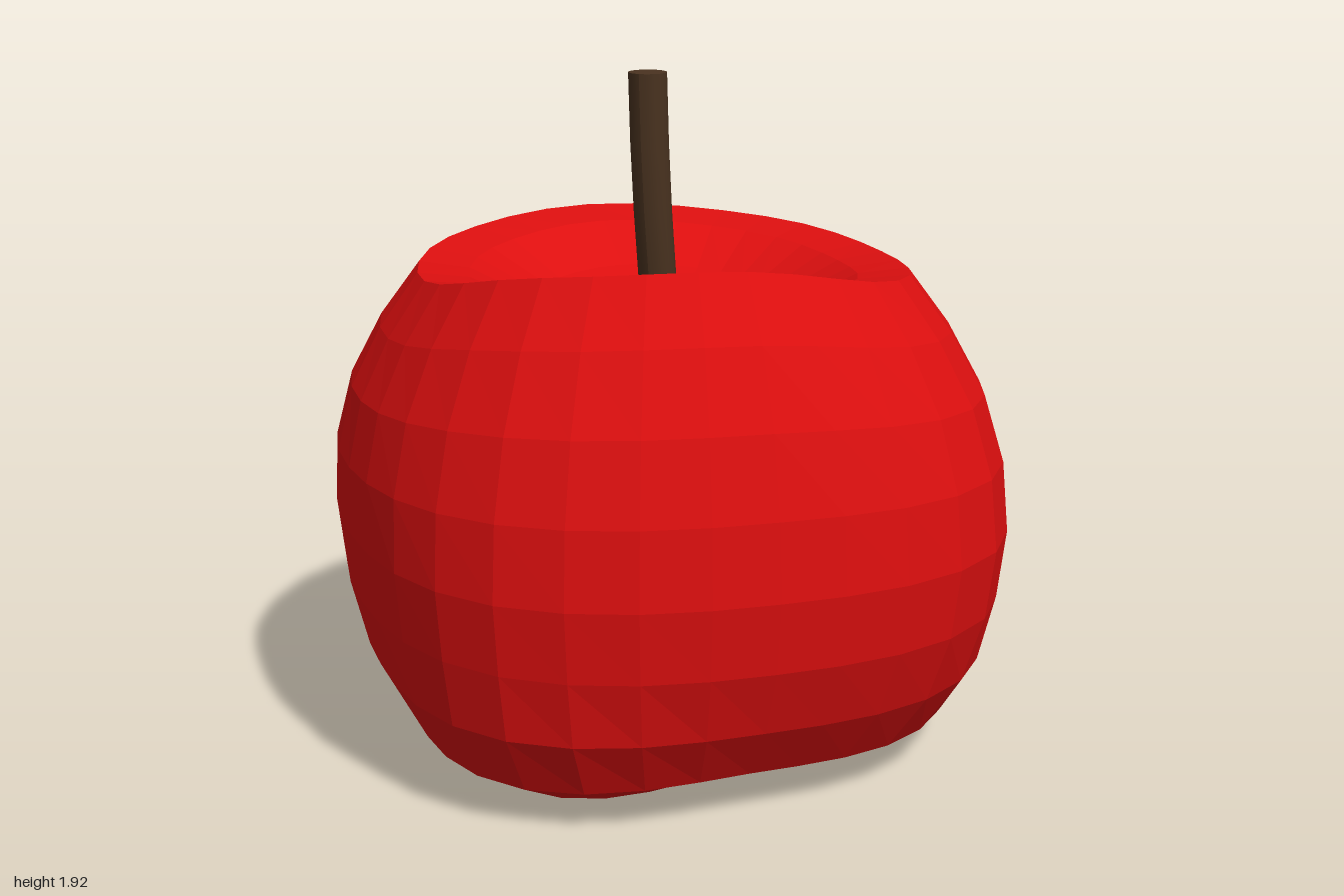
import * as THREE from 'three';

const SEGMENTS = 32;

// Eight values around the fruit, starting at +x and turning towards +z
const RADIUS_BASE = [0.98, 0.86, 1.04, 0.92, 1.0, 1.0, 0.98, 1.05];
const RADIUS_MIDDLE = [1.0, 0.92, 0.98, 0.91, 1.0, 1.0, 0.99, 0.91];
const RADIUS_RIM = [1.0, 0.94, 1.0, 0.98, 1.0, 1.02, 1.01, 0.95];
const LIFT_BASE = [0.03, 0.05, 0.01, 0, 0, 0, 0, 0.01];
const LIFT_RIM = [0, 0.09, 0.075, -0.02, 0, 0.03, 0, -0.025];

// Rings from the base hollow to the top hollow: radius, height, share of rim lift, share of base lift
const RINGS = [
  [0, 0.16, 0, 0], [0.2, 0.11, 0, 0.2], [0.4, 0.05, 0, 0.6], [0.61, 0, 0, 1],
  [0.81, 0.11, 0, 0.3], [0.92, 0.285, 0, 0], [0.975, 0.475, 0, 0], [1, 0.67, 0.05, 0],
  [0.98, 0.87, 0.2, 0], [0.92, 1.06, 0.5, 0], [0.82, 1.235, 0.85, 0], [0.7, 1.39, 1, 0],
  [0.555, 1.37, 0.85, 0], [0.38, 1.28, 0.5, 0], [0.19, 1.22, 0.2, 0], [0, 1.19, 0, 0],
];

// Smooth closed interpolation of a table at a fraction of a turn
function around(table, turn) {
  const n = table.length, p = turn * n, i = Math.floor(p), t = p - i;
  const [a, b, c, d] = [-1, 0, 1, 2].map((k) => table[(i + k + n) % n]);
  return b + 0.5 * t * (c - a + t * (2 * a - 5 * b + 4 * c - d + t * (3 * (b - c) + d - a)));
}

function fruitPoint([radius, height, rimLift, baseLift], turn) {
  const angle = turn * Math.PI * 2;
  const middle = around(RADIUS_MIDDLE, turn);
  // The outline changes from base to middle to rim
  const scale = height < 0.67
    ? THREE.MathUtils.lerp(around(RADIUS_BASE, turn), middle, Math.min(1, height / 0.5))
    : THREE.MathUtils.lerp(middle, around(RADIUS_RIM, turn), Math.max(0, (height - 0.67) / 0.72));
  const y = height + rimLift * around(LIFT_RIM, turn) + baseLift * around(LIFT_BASE, turn);
  return [Math.cos(angle) * radius * scale, y, Math.sin(angle) * radius * scale];
}

function fruitGeometry() {
  const positions = [], index = [];
  for (const ring of RINGS) {
    for (let s = 0; s < SEGMENTS; s++) positions.push(...fruitPoint(ring, s / SEGMENTS));
  }
  for (let r = 0; r < RINGS.length - 1; r++) {
    for (let s = 0; s < SEGMENTS; s++) {
      const next = (s + 1) % SEGMENTS;
      const a = r * SEGMENTS + s, b = r * SEGMENTS + next;
      const c = a + SEGMENTS, d = b + SEGMENTS;
      if (r < RINGS.length - 2) index.push(a, c, d);
      if (r > 0) index.push(a, d, b);
    }
  }
  const indexed = new THREE.BufferGeometry();
  indexed.setAttribute('position', new THREE.Float32BufferAttribute(positions, 3));
  indexed.setIndex(index);
  // Separate corners give faceted faces
  const geometry = indexed.toNonIndexed();
  geometry.computeVertexNormals();
  return geometry;
}

// Upright cylinder leaning forward and straightening towards the tip
function stemGeometry() {
  const bottom = 1.15, top = 1.92;
  const geometry = new THREE.CylinderGeometry(0.053, 0.053, top - bottom, 16, 4);
  geometry.translate(0, (top + bottom) / 2, 0);
  const p = geometry.attributes.position;
  for (let i = 0; i < p.count; i++) {
    const t = (p.getY(i) - bottom) / (top - bottom);
    p.setZ(i, p.getZ(i) + 0.005 + 0.16 * t - 0.065 * t * t);
  }
  geometry.computeVertexNormals();
  return geometry;
}

export function createModel() {
  const group = new THREE.Group();
  group.name = 'apple';

  const red = new THREE.MeshStandardMaterial({ color: 0xdd0f0f });
  red.name = 'red skin';
  const brown = new THREE.MeshStandardMaterial({ color: 0x4a3320 });
  brown.name = 'brown stem';

  const fruit = new THREE.Mesh(fruitGeometry(), red);
  fruit.name = 'fruit';
  const stem = new THREE.Mesh(stemGeometry(), brown);
  stem.name = 'stem';

  group.add(fruit, stem);
  return group;
}
